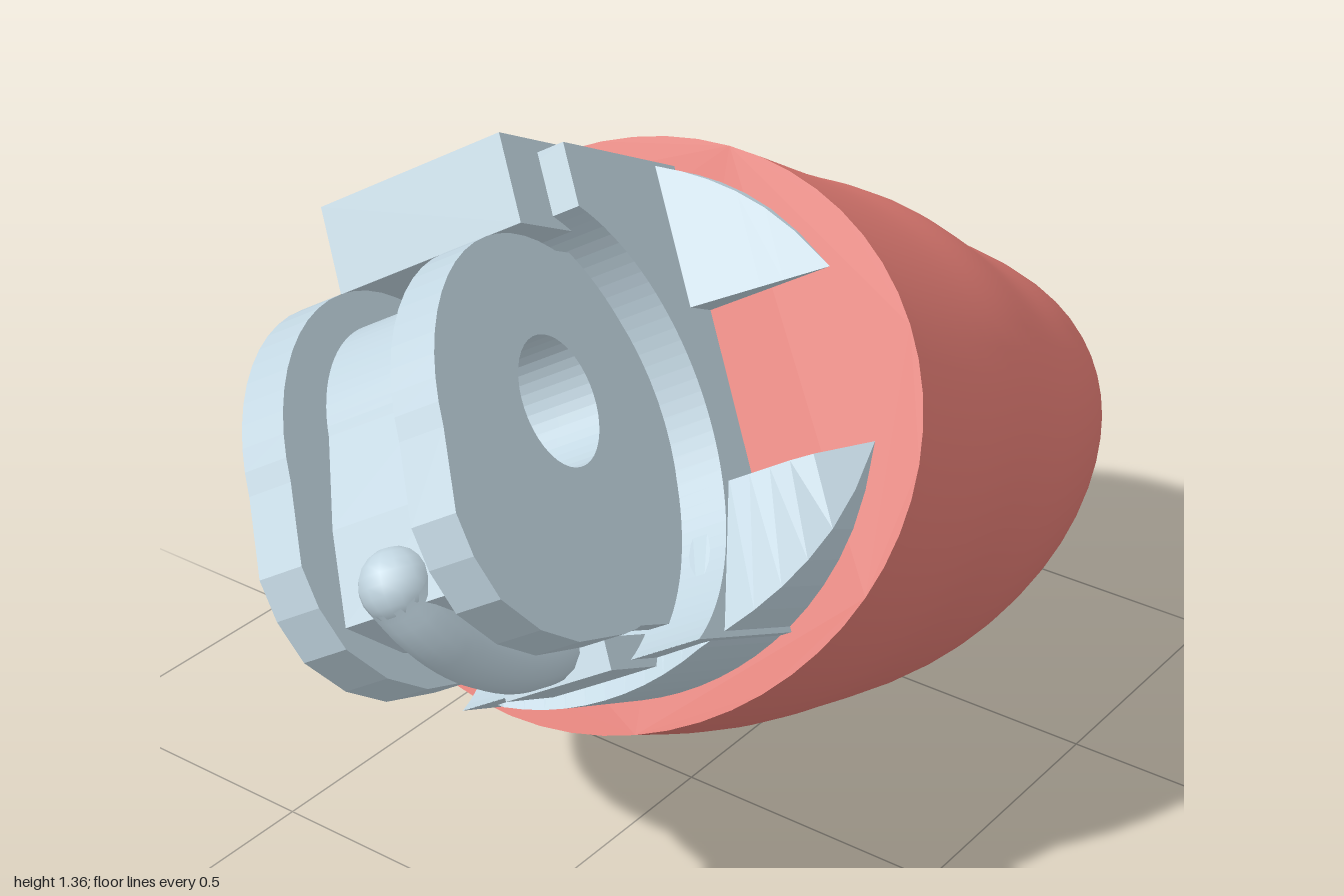
import * as THREE from 'three';

const HINGE = 0.44; // pin hole distance in front of the mounting face
const DISC = [0.45, -0.06]; // centre of the round plates, slightly off the pin

// Skins closed cross-sections given as arrays of [x, y, z]
function loft(rings) {
  const n = rings[0].length, index = [];
  for (let i = 0; i < rings.length - 1; i++) {
    for (let j = 0; j < n; j++) {
      const a = i * n + j, b = i * n + (j + 1) % n;
      index.push(a, b, b + n, a, b + n, a + n);
    }
  }
  const g = new THREE.BufferGeometry();
  g.setAttribute('position', new THREE.Float32BufferAttribute(rings.flat(2), 3));
  g.setIndex(index);
  g.computeVertexNormals();
  return g;
}

// Extrudes a (z, y) profile sideways from x0 to x1
function slab(shape, x0, x1) {
  const g = new THREE.ExtrudeGeometry(shape, { depth: x1 - x0, bevelEnabled: false, curveSegments: 20 });
  g.translate(0, 0, -x1);
  g.rotateY(-Math.PI / 2);
  return g;
}

function hole(x, y, r) {
  return new THREE.Path().absarc(x, y, r, 0, Math.PI * 2, true);
}

export function createModel() {
  const red = new THREE.MeshStandardMaterial({ color: 0xe47d75 });
  red.name = 'coral red';
  const grey = new THREE.MeshStandardMaterial({ color: 0xc2d6e1 });
  grey.name = 'pale blue grey';

  const model = new THREE.Group();
  model.name = 'fingertip';

  // Tilted frame: local z is the outward normal of the mounting face
  const tip = new THREE.Group();
  tip.name = 'tiltedTip';
  const N = new THREE.Vector3(0.05, 0.435, 0.9).normalize();
  const U = new THREE.Vector3(1, 0, 0).addScaledVector(N, -N.x).normalize();
  const V = new THREE.Vector3().crossVectors(N, U);
  tip.quaternion.setFromRotationMatrix(new THREE.Matrix4().makeBasis(U, V, N));
  tip.position.set(0.01, 0.79, 0.21);
  model.add(tip);

  const add = (parent, name, geometry, material) => {
    const m = new THREE.Mesh(geometry, material);
    m.name = name;
    parent.add(m);
    return m;
  };

  // Body sections: depth, top, bottom, left edge, right edge
  const rows = [
    [0, 0.49, -0.495, -0.51, 0.53], [0.25, 0.475, -0.509, -0.53, 0.52],
    [0.47, 0.47, -0.503, -0.53, 0.49], [0.69, 0.433, -0.479, -0.525, 0.46],
    [0.9, 0.413, -0.43, -0.49, 0.4], [1.07, 0.385, -0.36, -0.43, 0.33],
    [1.16, 0.34, -0.305, -0.37, 0.28], [1.22, 0.25, -0.2, -0.28, 0.21],
    [1.257, 0.11, -0.08, -0.14, 0.1], [1.268, 0.02, 0.019, -0.021, -0.02],
  ];
  const lerp = THREE.MathUtils.lerp;
  const spline = (k, t) => {
    const s = t * (rows.length - 1), i = Math.min(Math.floor(s), rows.length - 2), f = s - i;
    const at = (q) => rows[THREE.MathUtils.clamp(q, 0, rows.length - 1)][k];
    const m0 = (at(i + 1) - at(i - 1)) / 2, m1 = (at(i + 2) - at(i)) / 2;
    const h = f * f * (3 - 2 * f);
    return lerp(at(i), at(i + 1), h) + m0 * f * (1 - f) * (1 - f) - m1 * f * f * (1 - f);
  };
  // Each section leans: its top shifts to one side, its bottom to the other
  const section = (t) => {
    const [d, top, bottom, left, right] = [0, 1, 2, 3, 4].map((k) => spline(k, t));
    const ring = [], lean = (0.06 + 0.035 * d) * (top - bottom);
    for (let j = 0; j < 56; j++) {
      const a = (j / 56) * Math.PI * 2, c = Math.cos(a), s = Math.sin(a);
      const x = (left + right) / 2 - 0.01 + 0.05 * d + c * (right - left) / 2 + s * lean;
      ring.push([x, (top + bottom) / 2 + s * (top - bottom) / 2, -d]);
    }
    return ring;
  };
  const rings = [];
  for (let i = 36; i >= 0; i--) rings.push(section(i / 36));
  add(tip, 'softBody', loft(rings), red);
  const rim = new THREE.Shape(section(0).map(([x, y]) => new THREE.Vector2(x, y)));
  add(tip, 'mountingFace', new THREE.ShapeGeometry(rim), red);

  // Clevis joint, rolled about the body axis
  const clevis = new THREE.Group();
  clevis.name = 'clevis';
  clevis.rotation.z = 0.58;
  tip.add(clevis);

  // Core with a round clearance cut about the plates
  const core = new THREE.Shape();
  core.moveTo(-0.02, -0.382);
  core.lineTo(0.29, -0.382);
  core.absarc(...DISC, 0.36, Math.PI + 1.11, Math.PI - 1.23, true);
  core.lineTo(0.33, 0.38);
  core.lineTo(-0.02, 0.38);
  add(clevis, 'clevisCore', slab(core, -0.215, 0.215), grey);

  // Upper stop block with a small cord hole
  const stop = new THREE.Shape();
  stop.moveTo(-0.168, 0.02);
  stop.lineTo(-0.168, -0.425);
  stop.lineTo(0.168, -0.425);
  stop.lineTo(0.168, 0.02);
  stop.holes.push(hole(0, -0.35, 0.025));
  const stopGeometry = new THREE.ExtrudeGeometry(stop, { depth: 0.14, bevelEnabled: false, curveSegments: 8 });
  stopGeometry.rotateX(-Math.PI / 2);
  stopGeometry.translate(0, 0.26, 0);
  add(clevis, 'stopBlock', stopGeometry, grey);

  // Side plates: round at the back, pointed at the lower front, drilled for the pin
  const plate = new THREE.Shape();
  plate.moveTo(0.45, -0.36);
  plate.lineTo(0.54, -0.365);
  plate.lineTo(0.63, -0.345);
  plate.lineTo(0.71, -0.3);
  plate.lineTo(0.75, -0.24);
  plate.lineTo(0.768, -0.18);
  plate.absarc(...DISC, 0.3, 0, Math.PI * 1.5, false);
  plate.holes.push(hole(HINGE, -0.012, 0.1));
  // Thin webs joining the plates to the core
  const web = new THREE.Shape();
  web.moveTo(0.05, -0.34);
  web.lineTo(0.32, -0.34);
  web.lineTo(0.32, 0.24);
  web.lineTo(0.05, 0.24);
  for (const [side, s] of [['left', 1], ['right', -1]]) {
    const span = (a, b) => (s > 0 ? [a, b] : [-b, -a]);
    add(clevis, side + 'Plate', slab(plate, ...span(0.095, 0.17)), grey);
    add(clevis, side + 'Web', slab(web, ...span(0.1, 0.135)), grey);
  }

  // Hub filling the slot between the plates around the pin
  const hub = new THREE.Shape();
  hub.moveTo(0.29, -0.33);
  hub.lineTo(0.58, -0.31);
  hub.lineTo(0.7, -0.27);
  hub.lineTo(0.68, -0.13);
  hub.absarc(HINGE, -0.012, 0.2, 0.1, Math.PI, false);
  hub.holes.push(hole(HINGE, -0.012, 0.1));
  add(clevis, 'hub', slab(hub, -0.1, 0.1), grey);

  // Rounded base wedges above and below the side slots
  const wedge = (peak) => {
    const R = 0.455, chord = 0.14, columns = [];
    const edge = Math.sqrt(R * R - chord * chord);
    for (let i = 0; i <= 24; i++) {
      const x = lerp(-edge, edge, i / 24);
      const y = Math.max(chord, 0.93 * Math.sqrt(R * R - x * x));
      const rise = Math.min(peak, peak * (edge - Math.abs(x)) / 0.24);
      columns.push([[x, chord, -0.01], [x, y, -0.01], [x, y, rise], [x, chord, Math.min(rise, 0.08)]]);
    }
    const g = loft(columns).toNonIndexed();
    g.computeVertexNormals();
    return g;
  };
  add(clevis, 'upperBaseWedge', wedge(0.07), grey);
  add(clevis, 'lowerBaseWedge', wedge(0.23), grey).rotation.z = Math.PI;

  // Curved cord guide in the slot, with its foot
  const points = [];
  for (let i = 0; i <= 8; i++) {
    const a = lerp(-0.75, -2.1, i / 8);
    points.push(new THREE.Vector3(0, 0.345 * Math.sin(a), HINGE + 0.345 * Math.cos(a)));
  }
  const guide = new THREE.CatmullRomCurve3(points);
  add(clevis, 'cordGuide', new THREE.TubeGeometry(guide, 24, 0.055, 14), grey);
  const end = add(clevis, 'cordGuideEnd', new THREE.SphereGeometry(0.055, 14, 10), grey);
  end.position.copy(points[0]);
  const foot = add(clevis, 'cordGuideFoot', new THREE.BoxGeometry(0.19, 0.05, 0.14), grey);
  foot.position.set(0, -0.37, 0.28);

  return model;
}
